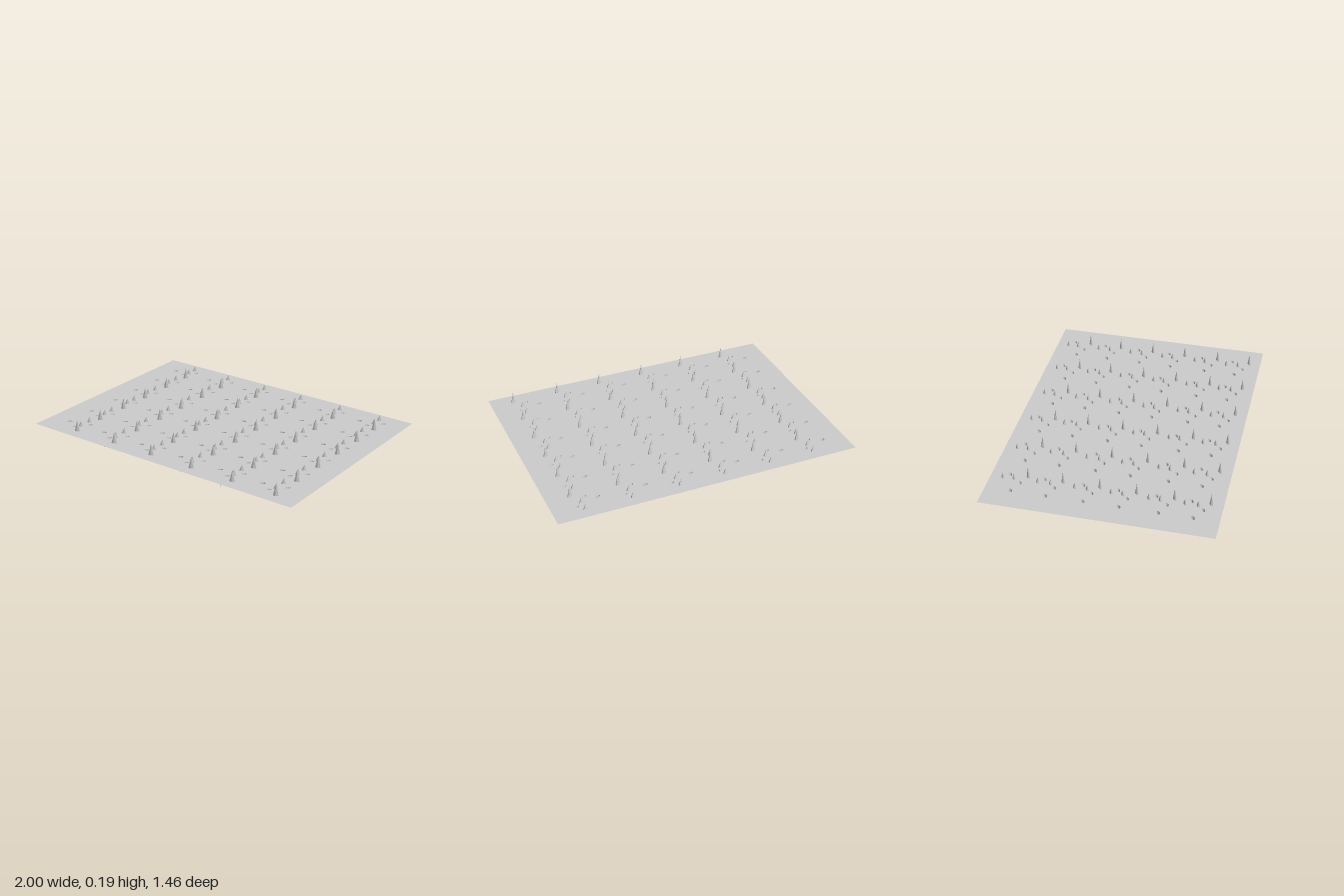
import * as THREE from 'three';

const WIDTH = 2, DEPTH = 1.457, LEVEL = 0.115;
const NX = 127, NZ = 125;

// Spike families: column x positions, row z positions, height of the tip per column
const smallX = [-0.733, -0.433, -0.118, 0.184, 0.497, 0.8];
const shortX = [-0.765, -0.465, -0.155, 0.155, 0.465, 0.77];
const tallX = [-0.7, -0.385, -0.084, 0.23, 0.535, 0.846];
const pitZ = [-0.531, -0.313, -0.076, 0.145, 0.391, 0.613];
const peakZ = [-0.496, -0.273, -0.039, 0.191, 0.426, 0.65];
const flip = (list) => list.map((v) => -v).reverse();
const even = (h) => Array(6).fill(h);

const families = [
  { xs: [-0.849, -0.547, -0.235, 0.08, 0.384, 0.695], zs: [-0.566, -0.344, -0.11, 0.113, 0.355, 0.566],
    tips: [-0.107, -0.107, -0.1, -0.107, -0.115, -0.1] },           // long downward spikes
  { xs: tallX, zs: peakZ, tips: even(0.076) },                      // tall upward spikes
  { xs: tallX, zs: flip(pitZ), tips: even(-0.034) },                // short downward spikes
  { xs: shortX, zs: pitZ, tips: even(-0.034) },
  { xs: smallX, zs: flip(peakZ), tips: even(0.037) },               // small upward spikes
  { xs: smallX, zs: [-0.578, -0.344, -0.111, 0.111, 0.344, 0.578], tips: even(0.037) },
];

// A grid point and the six neighbours that form the foot of its spike
const FOOT = [[0, 0], [1, 0], [-1, 0], [0, 1], [0, -1], [1, -1], [-1, 1]];

export function createModel() {
  const group = new THREE.Group();
  group.name = 'spikedSheet';

  // Fine flat grid
  const geometry = new THREE.PlaneGeometry(WIDTH, DEPTH, NX, NZ);
  geometry.rotateX(-Math.PI / 2);
  geometry.translate(0, LEVEL, 0);
  const pos = geometry.attributes.position;

  // Pull the nearest grid point up or down, sliding its foot into place
  function pullSpike(x, z, tip) {
    const i = Math.round((x / WIDTH + 0.5) * NX);
    const j = Math.round((z / DEPTH + 0.5) * NZ);
    const dx = x - (i / NX - 0.5) * WIDTH;
    const dz = z - (j / NZ - 0.5) * DEPTH;
    for (const [a, b] of FOOT) {
      const k = (j + b) * (NX + 1) + i + a;
      pos.setX(k, (((i + a) / NX) - 0.5) * WIDTH + dx);
      pos.setZ(k, (((j + b) / NZ) - 0.5) * DEPTH + dz);
    }
    pos.setY(j * (NX + 1) + i, LEVEL + tip);
  }

  for (const { xs, zs, tips } of families) {
    xs.forEach((x, c) => zs.forEach((z) => pullSpike(x, z, tips[c])));
  }
  geometry.computeVertexNormals();

  const material = new THREE.MeshStandardMaterial({
    color: 0xcccccc, flatShading: true, side: THREE.DoubleSide,
  });
  const sheet = new THREE.Mesh(geometry, material);
  sheet.name = 'sheet';
  group.add(sheet);
  return group;
}
